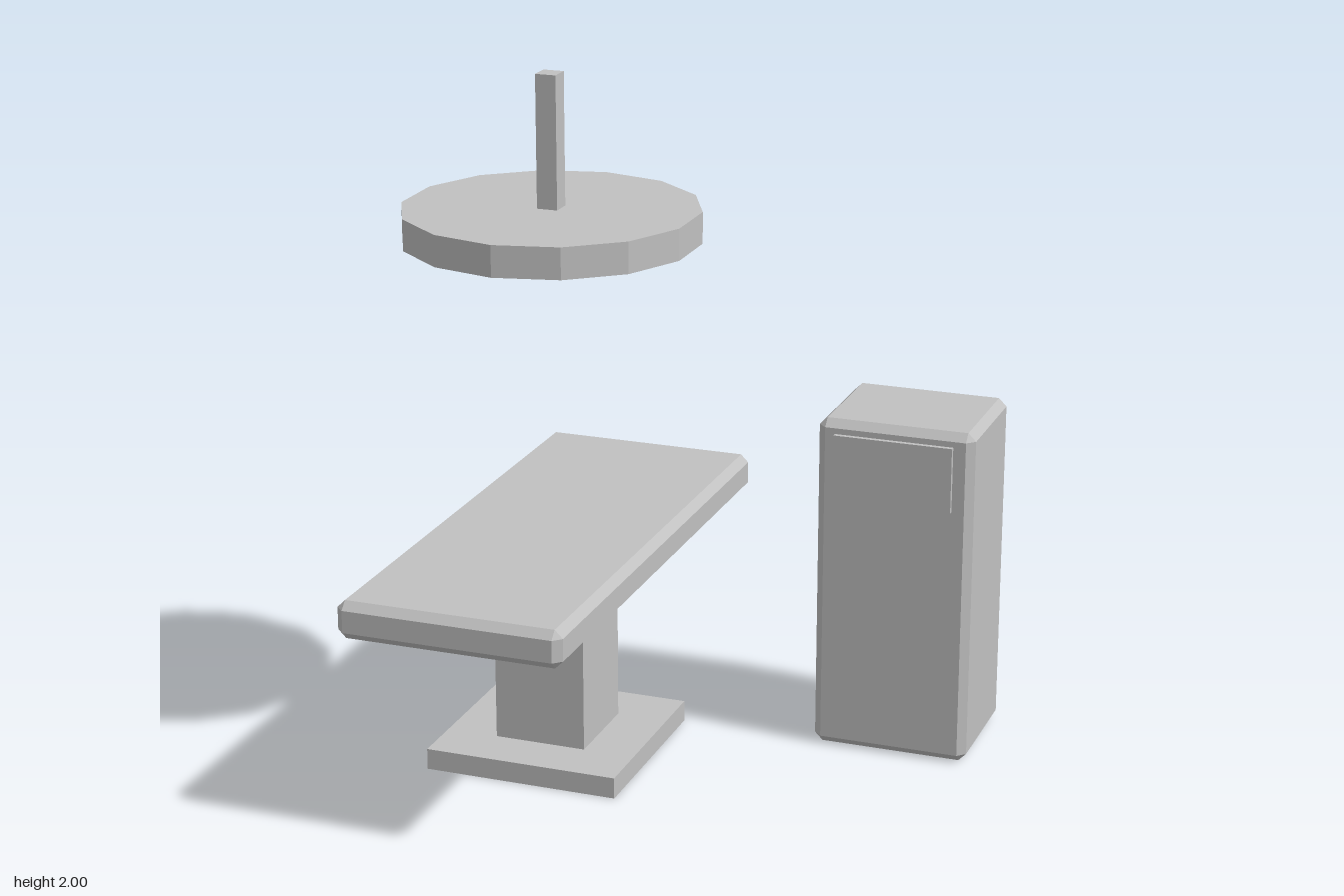
import * as THREE from 'three';
import { ConvexGeometry } from 'three/addons/geometries/ConvexGeometry.js';

// Box with flat 45-degree chamfers on every edge
function chamferedBox(w, h, d, c) {
  const points = [];
  for (const x of [-1, 1]) for (const y of [-1, 1]) for (const z of [-1, 1]) {
    const [a, b, e] = [w / 2, h / 2, d / 2];
    points.push(
      new THREE.Vector3(x * a, y * (b - c), z * (e - c)),
      new THREE.Vector3(x * (a - c), y * b, z * (e - c)),
      new THREE.Vector3(x * (a - c), y * (b - c), z * e),
    );
  }
  return new ConvexGeometry(points);
}

export function createModel() {
  const group = new THREE.Group();
  const grey = new THREE.MeshStandardMaterial({ color: 0xc0c0c0, flatShading: true });
  grey.name = 'plain grey';

  const add = (name, geometry, x, y, z) => {
    const mesh = new THREE.Mesh(geometry, grey);
    mesh.name = name;
    mesh.position.set(x, y, z);
    group.add(mesh);
  };

  const tableX = -0.373;

  // Pedestal table
  add('tableBase', new THREE.BoxGeometry(0.576, 0.062, 0.576), tableX, 0.031, 0);
  add('tableColumn', new THREE.BoxGeometry(0.272, 0.53, 0.272), tableX, 0.325, 0);
  add('tableTop', chamferedBox(0.653, 0.11, 1.536, 0.023), tableX, 0.637, 0);

  // Overhead lamp on a square rod
  add('lampDisc', new THREE.CylinderGeometry(0.422, 0.422, 0.09, 14), tableX, 1.577, 0);
  add('lampRod', new THREE.BoxGeometry(0.06, 0.4, 0.06), tableX, 1.8, 0);

  // Standing cabinet with a panel floating just off its front
  add('cabinet', chamferedBox(0.458, 1, 0.382, 0.023), 0.55, 0.5, -0.464);
  add('cabinetPanel', new THREE.BoxGeometry(0.346, 0.192, 0.014), 0.549, 0.867, -0.258);

  return group;
}
